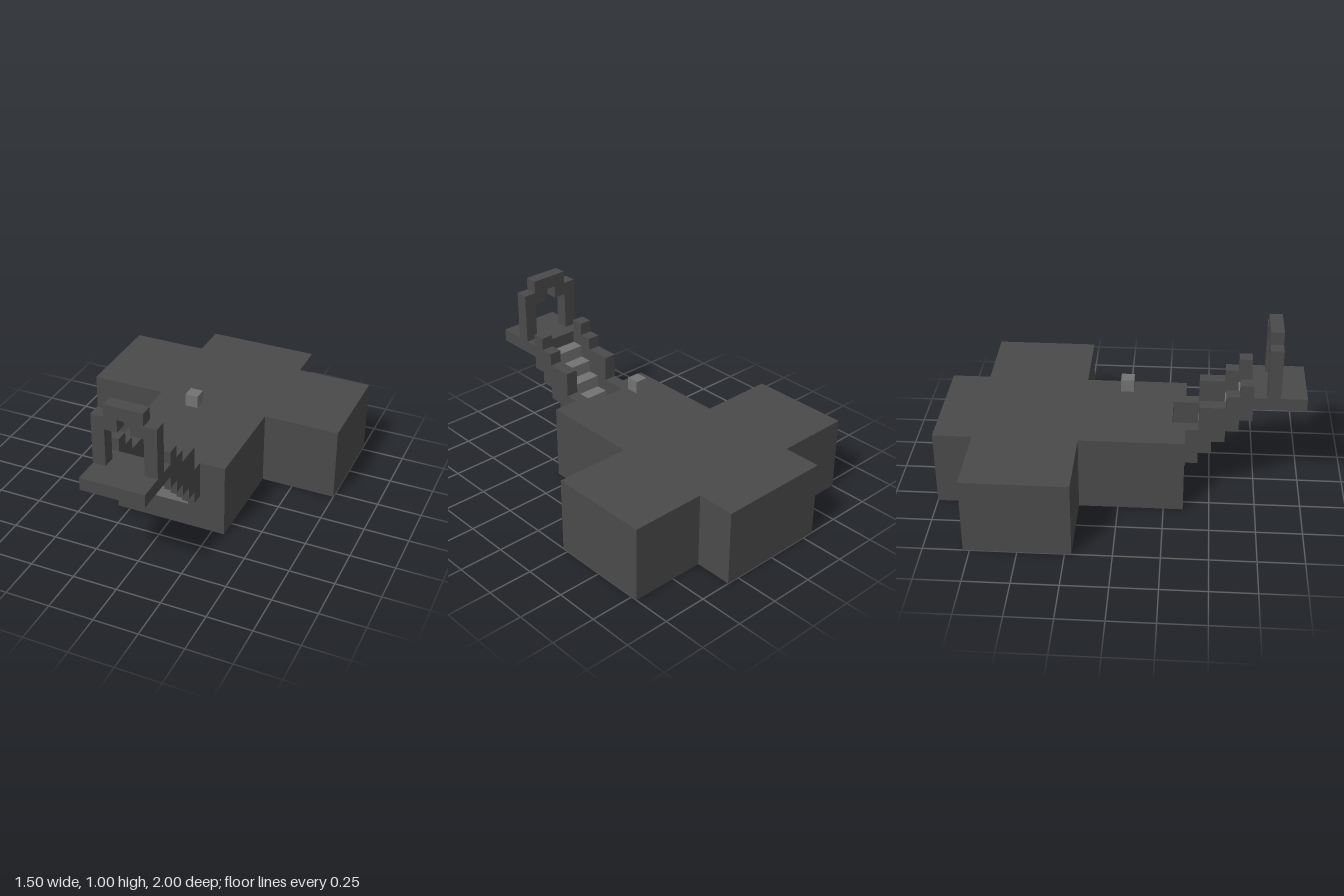
import * as THREE from 'three';

const U = 1 / 14; // one block

export function createModel() {
  const model = new THREE.Group();
  const darkStone = new THREE.MeshStandardMaterial({ color: 0x4a4a4a });
  darkStone.name = 'darkStone';
  const paleStone = new THREE.MeshStandardMaterial({ color: 0x737373 });
  paleStone.name = 'paleStone';

  const add = (parent, name, geometry, material) => {
    const mesh = new THREE.Mesh(geometry, material);
    mesh.name = name;
    parent.add(mesh);
    return mesh;
  };
  // Box from its limits, in blocks
  const block = (parent, name, material, [x0, x1], [y0, y1], [z0, z1]) => {
    const mesh = add(parent, name,
      new THREE.BoxGeometry((x1 - x0) * U, (y1 - y0) * U, (z1 - z0) * U), material);
    mesh.position.set((x0 + x1) / 2 * U, (y0 + y1) / 2 * U, (z0 + z1) / 2 * U);
    return mesh;
  };
  const group = (name) => {
    const g = new THREE.Group();
    g.name = name;
    model.add(g);
    return g;
  };

  // Cross-shaped plan inset by k, running from front left round to front right
  const cross = (k) => {
    const half = [[4.5 - k, 5 - k], [4.5 - k, -3 - k], [10.5 - k, -3 - k],
      [10.5 - k, -11 + k], [4.5 - k, -11 + k], [4.5 - k, -14 + k]];
    return [...half, ...half.map(([x, z]) => [-x, z]).reverse()];
  };
  const toPoints = (list) => list.map(([x, z]) => new THREE.Vector2(x * U, -z * U));
  const storey = (parent, name, outline, y0, y1, hole) => {
    const shape = new THREE.Shape(toPoints(outline));
    if (hole) shape.holes.push(new THREE.Path(toPoints(hole)));
    const geometry = new THREE.ExtrudeGeometry(shape, { depth: (y1 - y0) * U, bevelEnabled: false });
    geometry.rotateX(-Math.PI / 2);
    add(parent, name, geometry, darkStone).position.y = y0 * U;
  };

  // Hollow building, entered through a slot at the front
  const building = group('building');
  storey(building, 'floor', cross(0), 0.015, 1);
  storey(building, 'lowerWalls', cross(0), 1, 3, cross(1));
  storey(building, 'upperWalls',
    [[1.5, 5], ...cross(0), [-1.5, 5], [-1.5, 4], ...cross(1).reverse(), [1.5, 4]], 3, 5);
  storey(building, 'roof', [[1.5, 4], [1.5, 5], ...cross(0), [-1.5, 5], [-1.5, 4]], 5, 6);

  // Steps falling from the landing into the building
  const stairs = group('stairs');
  for (let i = 0; i < 8; i++) {
    block(stairs, 'step', paleStone, [-1.5, 1.5], [7 - i, 8 - i], [9 - i, 10 - i + (i === 5 ? 0.015 : 0)]);
  }

  // Stepped side walls, with one taller block near the bottom
  for (const s of [-1, 1]) {
    const rail = group(s > 0 ? 'leftRail' : 'rightRail');
    [10, 9, 8, 8, 6].forEach((top, i) =>
      block(rail, 'railBlock', darkStone, [s * 2 - 0.5, s * 2 + 0.5], [7 - i, top], [9 - i, 10 - i]));
  }

  block(model, 'landing', darkStone, [-2.5, 2.5], [8, 9], [10, 14]);

  // Archway on the landing
  const arch = group('archway');
  for (const s of [-1, 1]) {
    block(arch, 'archPost', darkStone, [s * 2 - 0.5, s * 2 + 0.5], [9, 13], [11, 12]);
    block(arch, 'archCorner', darkStone, [s - 0.5, s + 0.5], [12, 13], [11, 12]);
  }
  block(arch, 'archTop', darkStone, [-1.5, 1.5], [13, 14], [11, 12]);

  // Loose block hovering above the roof
  block(model, 'floatingBlock', paleStone, [-0.5, 0.5], [8, 9], [0, 1]);

  return model;
}
